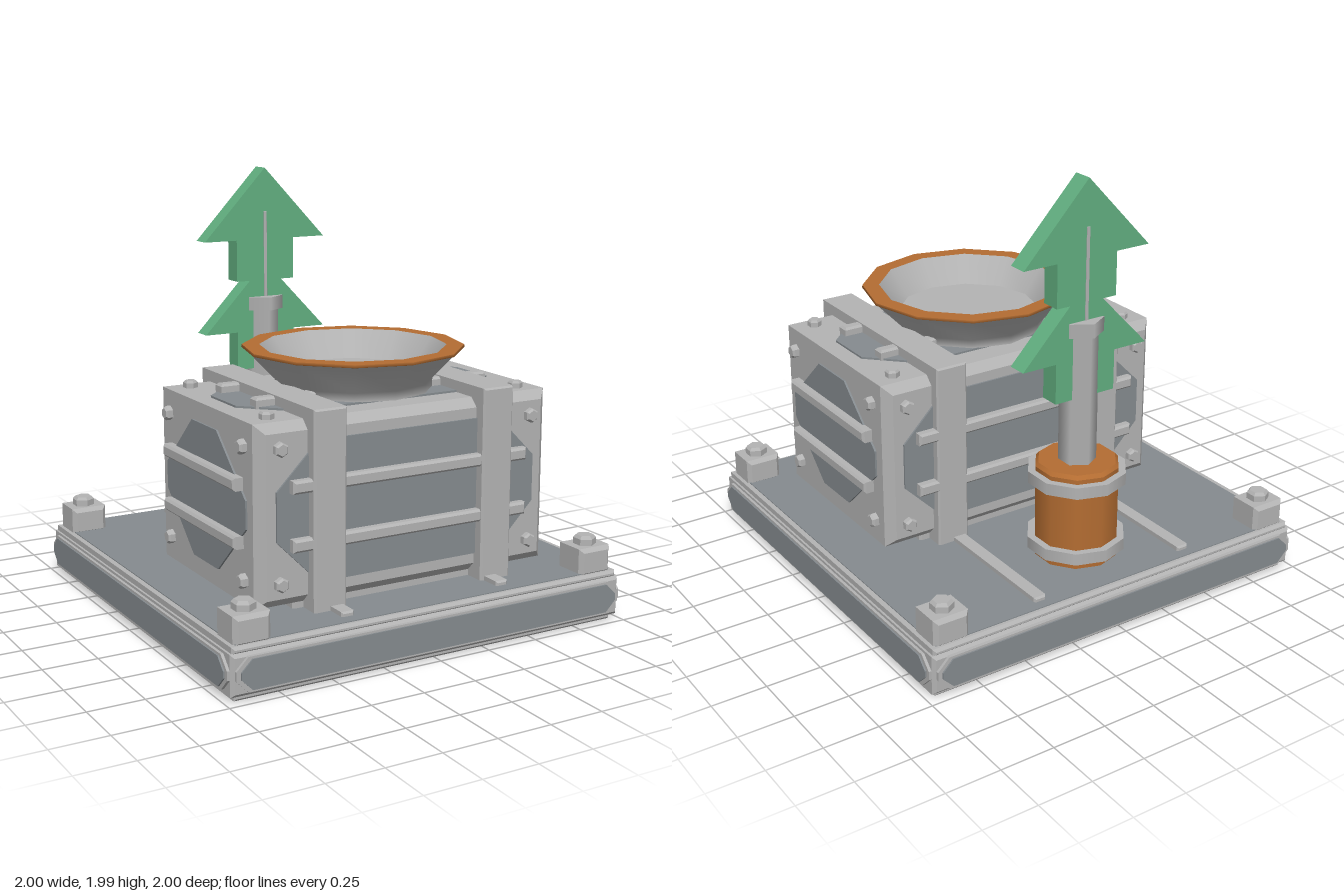
import * as THREE from 'three';

const mat = (name, color, side = THREE.FrontSide) => {
  const m = new THREE.MeshStandardMaterial({ color, side });
  m.name = name;
  return m;
};

export function createModel() {
  const grey = mat('light grey metal', 0xb3b3b3);
  const panel = mat('slate panel', 0x858b8f);
  const orange = mat('burnt orange', 0xb46d32);
  const green = mat('signal green', 0x62af80);
  const root = new THREE.Group();
  root.name = 'machine';

  const group = (name) => {
    const g = new THREE.Group();
    g.name = name;
    root.add(g);
    return g;
  };
  const add = (parent, name, geo, material, x = 0, y = 0, z = 0) => {
    const m = new THREE.Mesh(geo, material);
    m.name = name;
    m.position.set(x, y, z);
    parent.add(m);
    return m;
  };
  const polygon = (pts) => new THREE.Shape(pts.map(([x, y]) => new THREE.Vector2(x, y)));

  // Centred box with 45 degree chamfers
  const chamferBox = (w, h, d, c) => {
    const a = w / 2 - c, b = h / 2 - c;
    const geo = new THREE.ExtrudeGeometry(polygon([[-a, -b], [a, -b], [a, b], [-a, b]]), {
      depth: d - 2 * c, bevelEnabled: true, bevelSize: c, bevelThickness: c, bevelSegments: 1,
    });
    return geo.translate(0, 0, c - d / 2);
  };
  // Box given by its limits
  const block = (parent, name, x0, x1, y0, y1, z0, z1, c, material = grey) =>
    add(parent, name, chamferBox(x1 - x0, y1 - y0, z1 - z0, c), material,
      (x0 + x1) / 2, (y0 + y1) / 2, (z0 + z1) / 2);
  // Octagonal plate lying on z = 0, cut by cx and cy at the corners
  const octagon = (a, b, cx, cy, depth) => new THREE.ExtrudeGeometry(polygon([
    [-a, cy - b], [cx - a, -b], [a - cx, -b], [a, cy - b],
    [a, b - cy], [a - cx, b], [cx - a, b], [-a, b - cy]]), { depth, bevelEnabled: false });
  // Hexagonal bolt with a chamfered head, along +y
  const boltGeo = (r, h) => new THREE.LatheGeometry([
    new THREE.Vector2(r, 0), new THREE.Vector2(r, h * 0.7),
    new THREE.Vector2(r * 0.75, h), new THREE.Vector2(0, h)], 6).toNonIndexed();
  const flatBolt = (r, h) => {
    const g = boltGeo(r, h);
    g.computeVertexNormals();
    return g;
  };

  // Base slab with trimmed edges
  const base = group('base');
  block(base, 'baseFoot', -0.955, 0.955, 0, 0.04, -0.955, 0.955, 0.01);
  block(base, 'baseSlab', -0.98, 0.98, 0.025, 0.207, -0.98, 0.98, 0.015);
  block(base, 'baseRim', -0.97, 0.97, 0.2, 0.233, -0.97, 0.97, 0.012);
  add(base, 'deck', new THREE.BoxGeometry(1.89, 0.008, 1.89), panel, 0, 0.233, 0);
  for (let i = 0; i < 4; i++) {
    const side = new THREE.Group();
    side.name = 'baseSide';
    side.rotation.y = i * Math.PI / 2;
    base.add(side);
    add(side, 'sideFrame', octagon(0.965, 0.075, 0.055, 0.055, 0.018), grey, 0, 0.12, 0.975);
    add(side, 'sidePanel', octagon(0.945, 0.065, 0.05, 0.05, 0.007), panel, 0, 0.12, 0.993);
  }

  // Corner blocks with bolts, and deck rails
  for (const sx of [-1, 1]) {
    for (const sz of [-1, 1]) {
      const corner = group('cornerMount');
      corner.position.set(sx * 0.867, 0, sz * 0.867);
      block(corner, 'cornerBlock', -0.085, 0.085, 0.22, 0.35, -0.085, 0.085, 0.018);
      add(corner, 'cornerBolt', flatBolt(0.052, 0.045), grey, 0, 0.347, 0);
    }
    block(base, 'deckRail', sx * 0.393 - 0.03, sx * 0.393 + 0.03, 0.225, 0.257, -0.9, 0.89, 0.008);
  }

  // Engine housing
  const cy = 0.66, cz = 0.265;
  const body = group('housing');
  block(body, 'housingFoot', -0.55, 0.55, 0.22, 0.3, -0.17, 0.7, 0.01);
  block(body, 'housingBox', -0.735, 0.735, 0.265, 1.053, -0.21, 0.74, 0.04);
  for (const sx of [-1, 1]) {
    const x = sx * 0.422;
    block(body, 'strap', x - 0.078, x + 0.078, 0.225, 1.105, -0.257, 0.797, 0.008);
  }

  // One decorated housing face: panel, two bars and four bolts, outward along +z
  const face = (name, pos, rot, a, b, cut, barHalf, barY, boltX, boltY) => {
    const g = new THREE.Group();
    g.name = name;
    g.position.set(...pos);
    g.rotation.set(...rot);
    body.add(g);
    add(g, 'facePanel', octagon(a, b, cut[0], cut[1], 0.009), panel);
    for (const s of [-1, 1]) {
      block(g, 'faceBar', -barHalf, barHalf, s * barY - 0.028, s * barY + 0.028, -0.01, 0.047, 0.01);
      for (const t of [-1, 1]) {
        add(g, 'faceBolt', flatBolt(0.033, 0.032), grey, s * boltX, t * boltY, 0)
          .rotation.x = Math.PI / 2;
      }
    }
  };
  const h = Math.PI / 2;
  const long = [0.65, 0.307, [0.2, 0.2], 0.59, 0.125, 0.632, 0.288];
  const end = [0.385, 0.307, [0.265, 0.245], 0.35, 0.125, 0.36, 0.288];
  face('frontFace', [0, cy, 0.74], [0, 0, 0], ...long);
  face('backFace', [0, cy, -0.21], [0, Math.PI, 0], ...long);
  face('leftFace', [0.735, cy, cz], [0, h, 0], ...end);
  face('rightFace', [-0.735, cy, cz], [0, -h, 0], ...end);
  face('topFace', [0, 1.053, cz], [-h, 0, 0], 0.65, 0.32, [0.2, 0.2], 0.59, 0.165, 0.632, 0.365);

  // Twelve-sided dish with a coloured rim
  const dish = group('dish');
  dish.position.z = cz;
  const ring = (name, pts, material) => add(dish, name,
    new THREE.LatheGeometry(pts.map(([r, y]) => new THREE.Vector2(r, y)), 12), material);
  ring('dishOuter', [[0.36, 1.06], [0.36, 1.1], [0.49, 1.235]], grey);
  ring('rimEdge', [[0.49, 1.235], [0.5, 1.238], [0.498, 1.25]], orange);
  ring('rimTop', [[0.498, 1.25], [0.42, 1.25]], orange);
  ring('dishInner', [[0.42, 1.25], [0.328, 1.125]], grey);
  ring('dishFloor', [[0.328, 1.125], [0, 1.125]], grey);

  // Exhaust stack behind the housing
  const stack = group('stack');
  stack.position.z = -0.615;
  const tube = (name, r0, r1, y0, y1, sides, material) => add(stack, name,
    new THREE.CylinderGeometry(r1, r0, y1 - y0, sides), material, 0, (y0 + y1) / 2, 0);
  tube('tankFoot', 0.19, 0.19, 0.23, 0.28, 10, orange);
  tube('tank', 0.192, 0.192, 0.27, 0.675, 10, orange);
  tube('tankShoulder', 0.192, 0.178, 0.675, 0.692, 10, orange);
  tube('lowerCollar', 0.226, 0.226, 0.275, 0.33, 10, grey);
  tube('upperCollar', 0.226, 0.226, 0.6, 0.655, 10, grey);
  tube('pipe', 0.085, 0.085, 0.68, 1.32, 6, grey);
  tube('pipeCap', 0.105, 0.105, 1.295, 1.36, 6, grey);
  block(stack, 'fin', -0.008, 0.008, 1.35, 1.775, -0.05, 0.05, 0.001);

  // Double upward arrow
  const half = [[0.155, 1.005], [0.155, 1.19], [0.325, 1.19], [0.086, 1.44],
    [0.155, 1.44], [0.155, 1.64], [0.325, 1.64]];
  const outline = [...half, [0, 1.985], ...half.map(([x, y]) => [-x, y]).reverse()];
  add(stack, 'arrow', new THREE.ExtrudeGeometry(polygon(outline),
    { depth: 0.092, bevelEnabled: false }), green, 0, 0, -0.046);

  return root;
}
